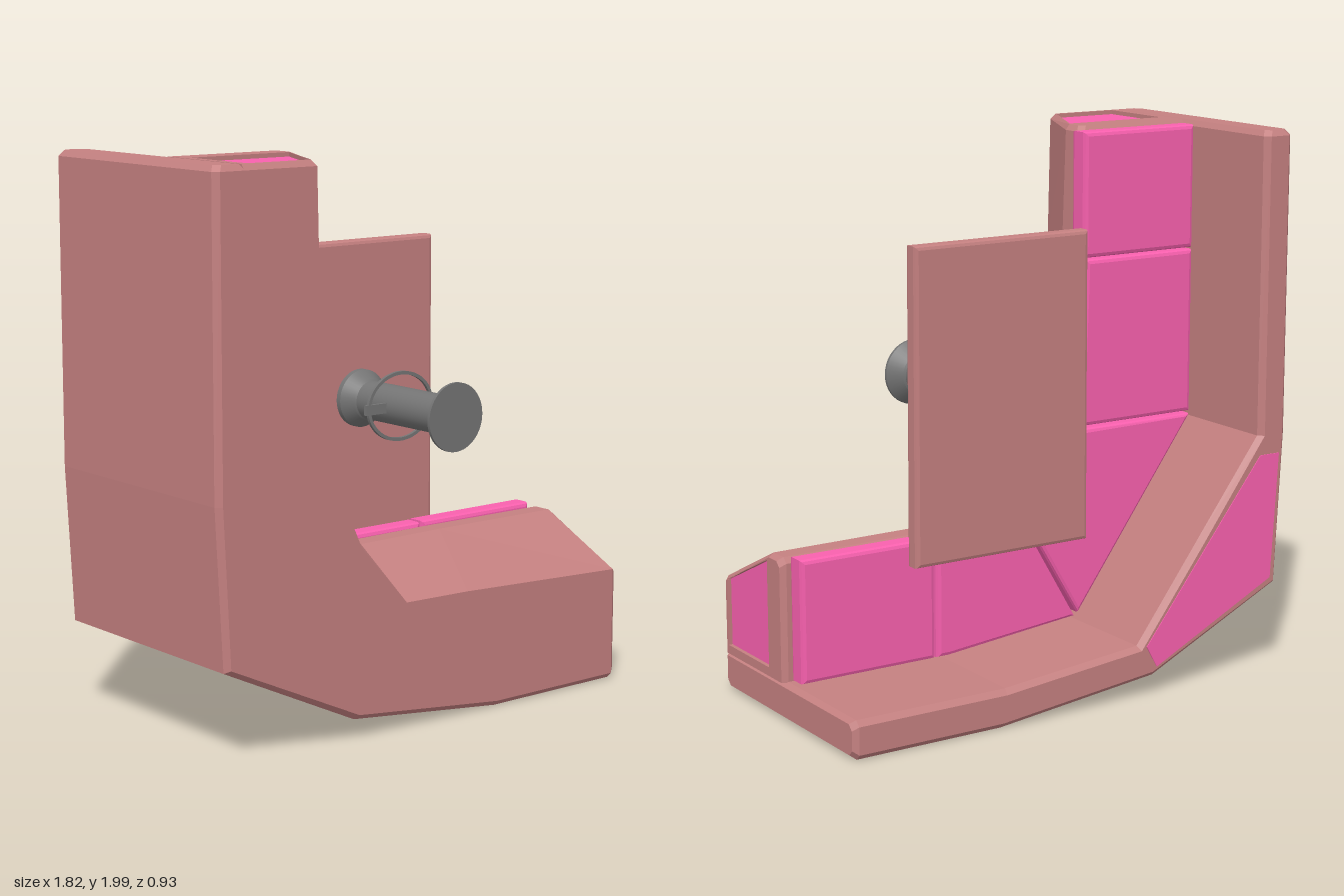
import * as THREE from 'three';

const mat = (color) => new THREE.MeshStandardMaterial({ color, flatShading: true });

// Skin a list of equal-length rings; optional fans close either end.
function loft(rings, capStart, capEnd) {
  const pos = [];
  const tri = (...p) => p.forEach((v) => pos.push(v.x, v.y, v.z));
  const n = rings[0].length;
  for (let s = 0; s < rings.length - 1; s++) {
    for (let j = 0; j < n; j++) {
      const k = (j + 1) % n, a = rings[s], b = rings[s + 1];
      tri(a[j], b[j], a[k]);
      tri(a[k], b[j], b[k]);
    }
  }
  const first = rings[0], last = rings[rings.length - 1];
  for (let j = 1; j < n - 1; j++) {
    if (capStart) tri(first[0], first[j], first[j + 1]);
    if (capEnd) tri(last[0], last[j + 1], last[j]);
  }
  const geo = new THREE.BufferGeometry();
  geo.setAttribute('position', new THREE.Float32BufferAttribute(pos, 3));
  geo.computeVertexNormals();
  return geo;
}

// Point a given distance from p towards q, at depth z.
function toward(p, q, dist, z) {
  const len = Math.hypot(q[0] - p[0], q[1] - p[1]);
  const t = dist / len;
  return new THREE.Vector3(p[0] + (q[0] - p[0]) * t, p[1] + (q[1] - p[1]) * t, z);
}
const shift = (ring, dx, dy) => ring.map((p) => new THREE.Vector3(p.x + dx, p.y + dy, p.z));

// Cross-section of the backrest between outer and inner plan points, shrunk by g.
function backRing([o, i], g = 0) {
  const c = 0.02, z = 0.463 - g;
  return [
    toward(o, i, g, z - c), toward(o, i, g + c, z), toward(i, o, g, z), toward(i, o, g, c - z),
    toward(i, o, g + c, -z), toward(o, i, g + c, -z), toward(o, i, g, c - z),
  ];
}

// Cross-section of the seat base: back, overhanging edge and floor edge plan points.
function seatRing([b, e, f], g = 0) {
  return [
    toward(b, f, 0, 0.463 - g), toward(f, b, g, 0.463 - g), toward(e, b, g, 0.115),
    toward(e, b, g, 0.045 + g), toward(e, b, g + 0.02, 0.025 + g), toward(b, e, 0, 0.025 + g),
  ];
}

// Outline of the inset panel on a seat end.
function panelRing([b, e, f]) {
  const z = 0.13, edge = () => toward(e, b, 0.028, z);
  return [toward(b, e, 0.032, 0.435), toward(f, b, 0.005, 0.435),
    edge(), edge(), edge(), toward(b, e, 0.032, z)];
}

function extrude(points, z0, z1, bevel) {
  const shape = new THREE.Shape(points.map((p) => new THREE.Vector2(...p)));
  const geo = new THREE.ExtrudeGeometry(shape, {
    depth: z1 - z0 - 2 * bevel, bevelEnabled: bevel > 0, bevelThickness: bevel,
    bevelSize: bevel, bevelOffset: -bevel, bevelSegments: 2, curveSegments: 32,
  });
  return geo.translate(0, 0, z0 + bevel);
}

export function createModel() {
  const group = new THREE.Group();
  const body = mat(0xc48080), pink = mat(0xf860ae);
  const metal = new THREE.MeshStandardMaterial({ color: 0x747474 });
  const add = (name, geo, material) => {
    const mesh = new THREE.Mesh(geo, material);
    mesh.name = name;
    group.add(mesh);
    return mesh;
  };

  // Backrest wall, bending round the corner
  const back = [
    [[-0.91, 2], [-0.79, 2]], [[-0.91, 0.9], [-0.79, 0.9]], [[-0.88, 0.34], [-0.525, 0.55]],
    [[-0.33, 0.08], [-0.26, 0.2]], [[0.32, 0.008], [0.3, 0.147]], [[0.91, 0.008], [0.91, 0.147]],
  ];
  const backRings = back.map((s) => backRing(s));
  backRings[0] = shift(backRings[0], 0, -0.02);
  backRings[5] = shift(backRings[5], -0.02, 0);
  add('backrest', loft([backRing(back[0], 0.015), ...backRings, backRing(back[5], 0.015)], true, true), body);

  // Corner panel on the backrest rim
  add('cornerPanel', extrude(
    [[-0.79, 0.83], [-0.875, 0.83], [-0.845, 0.365], [-0.335, 0.115], [-0.29, 0.195]], -0.466, -0.44, 0), pink);

  // Seat base with framed ends
  const seat = [
    [[-0.795, 2], [-0.33, 2], [-0.5, 2]],
    [[-0.795, 1.54], [-0.315, 1.54], [-0.49, 1.54]],
    [[-0.795, 0.9], [-0.285, 0.92], [-0.42, 0.92]],
    [[-0.53, 0.545], [-0.18, 0.75], [-0.31, 0.68]],
    [[-0.262, 0.195], [-0.03, 0.592], [-0.11, 0.46]],
    [[0.3, 0.142], [0.34, 0.595], [0.17, 0.455]],
    [[0.91, 0.142], [0.91, 0.592], [0.91, 0.425]],
  ];
  const seatRings = seat.map((s) => seatRing(s));
  seatRings[0] = shift(seatRings[0], 0, -0.02);
  seatRings[6] = shift(seatRings[6], -0.02, 0);
  const topPanel = panelRing(seat[0]), sidePanel = panelRing(seat[6]);
  const topSunk = shift(topPanel, 0, -0.015), sideSunk = shift(sidePanel, -0.015, 0);
  add('seatBase', loft([
    topSunk, topPanel, seatRing(seat[0], 0.015), ...seatRings,
    seatRing(seat[6], 0.015), sidePanel, sideSunk,
  ]), body);
  add('endPanel', loft([topSunk, shift(topSunk, 0, -0.01)], true, false), pink);
  add('endPanel', loft([shift(sideSunk, -0.01, 0), sideSunk], false, true), pink);

  // Seat cushions
  const cushions = [
    [[-0.77, 1.54], [-0.285, 1.54], [-0.285, 1.99], [-0.77, 1.99]],
    [[-0.77, 0.925], [-0.275, 0.925], [-0.295, 1.533], [-0.77, 1.533]],
    [[-0.77, 0.915], [-0.268, 0.225], [-0.04, 0.603], [-0.18, 0.76], [-0.275, 0.915]],
    [[-0.255, 0.215], [0.29, 0.16], [0.34, 0.16], [0.34, 0.6], [-0.03, 0.6]],
    [[0.35, 0.16], [0.885, 0.16], [0.885, 0.603], [0.35, 0.603]],
  ];
  cushions.forEach((c) => add('cushion', extrude(c, -0.072, 0.012, 0.015), pink));

  // Table top
  add('tableTop', extrude(
    [[-0.265, 0.52], [0.46, 0.52], [0.457, 1.653], [-0.262, 1.653]], -0.13, -0.065, 0.014), body);

  // Table pedestal with flared ends
  const profile = [[0, -0.068], [0.105, -0.068], [0.105, -0.045], [0.075, 0], [0.07, 0.005],
    [0.07, 0.4], [0.078, 0.405], [0.122, 0.452], [0.122, 0.463], [0, 0.463]];
  const pole = profile.flatMap((p, i) => {
    const v = new THREE.Vector2(...p);
    return i > 0 && i < profile.length - 1 ? [v, v.clone()] : [v];
  });
  add('tablePedestal', new THREE.LatheGeometry(pole, 40).rotateX(Math.PI / 2), metal)
    .position.set(0.11, 1.083, 0);

  // Oval foot ring and its crossbar
  const oval = new THREE.Shape().absellipse(0, 0, 0.15, 0.125, 0, Math.PI * 2);
  oval.holes.push(new THREE.Path().absellipse(0, 0, 0.138, 0.113, 0, Math.PI * 2));
  const ring = new THREE.ExtrudeGeometry(oval, { depth: 0.012, bevelEnabled: false, curveSegments: 40 });
  add('footRing', ring, metal).position.set(0.11, 1.083, 0.157);
  add('footRingBar', new THREE.BoxGeometry(0.318, 0.036, 0.014), metal).position.set(0.11, 1.083, 0.163);

  return group;
}
